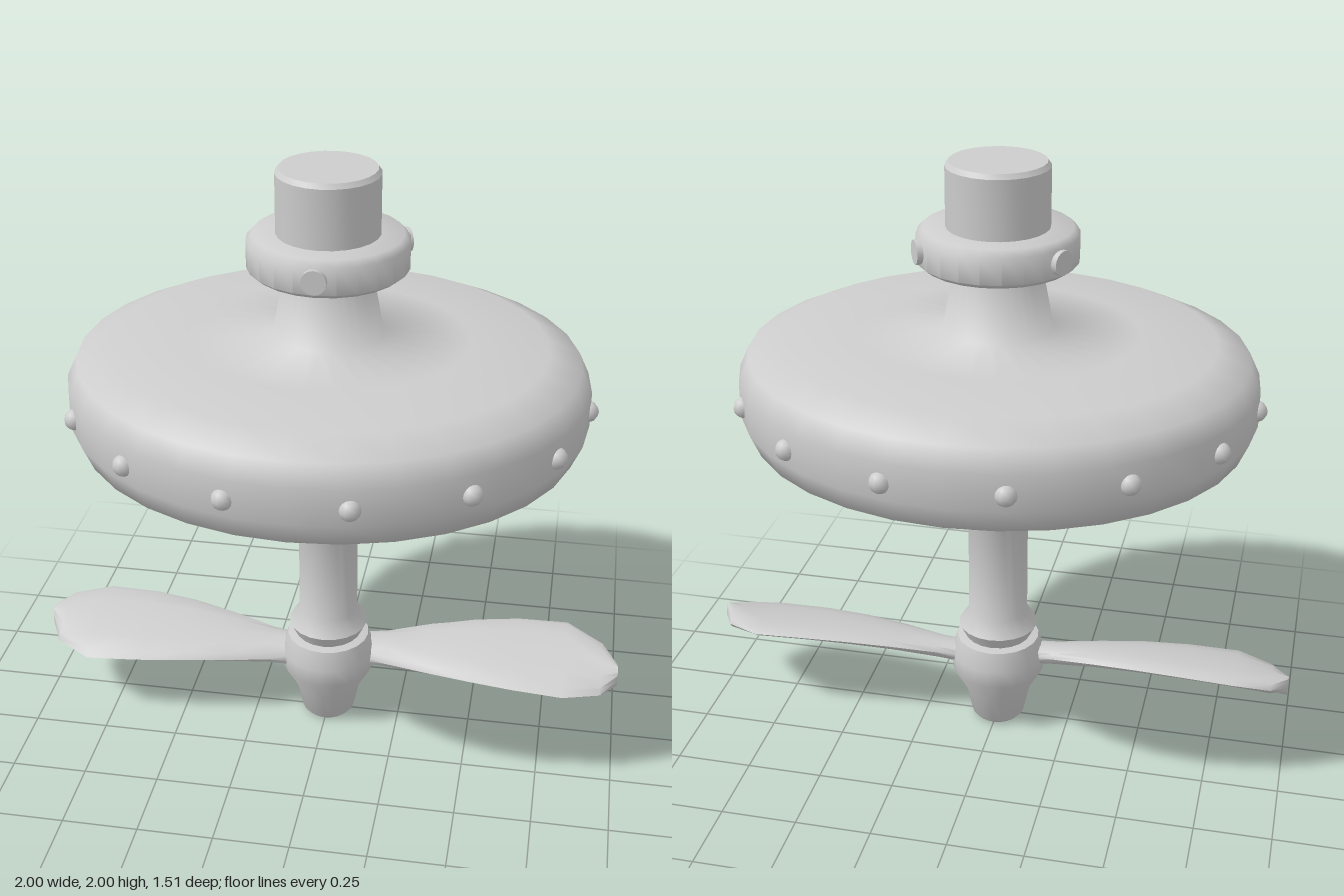
import * as THREE from 'three';
import { toCreasedNormals } from 'three/addons/utils/BufferGeometryUtils.js';

export function createModel() {
  const model = new THREE.Group();
  const metal = new THREE.MeshStandardMaterial({ color: 0xcccccc });
  metal.name = 'pale grey metal';

  function add(name, geometry, parent = model) {
    const mesh = new THREE.Mesh(geometry, metal);
    mesh.name = name;
    parent.add(mesh);
    return mesh;
  }
  // Profiles are [radius, height] pairs running upwards
  const lathe = (profile, sides) =>
    new THREE.LatheGeometry(profile.map(([r, y]) => new THREE.Vector2(r, y)), sides);

  // Slightly oval drum, rising into the tapered neck
  const drum = add('drum', lathe([
    [0, 1.07], [0.58, 1.07], [0.65, 1.08], [0.8, 1.122], [0.833, 1.198],
    [0.833, 1.315], [0.8, 1.385], [0.695, 1.433], [0.45, 1.45], [0.176, 1.465],
    [0.134, 1.69],
  ], 32));
  drum.scale.z = 0.9;

  // Rivets around the rim
  const rivets = new THREE.Group();
  rivets.name = 'rivets';
  model.add(rivets);
  const rivetGeometry = new THREE.SphereGeometry(0.034, 10, 8);
  for (let i = 0; i < 14; i++) {
    const a = (i * Math.PI) / 7;
    add('rivet', rivetGeometry, rivets)
      .position.set(0.825 * Math.cos(a), 1.25, 0.742 * Math.sin(a));
  }

  // Collar with three screws, and the stub above it
  add('collar', toCreasedNormals(lathe([
    [0.1, 1.675], [0.235, 1.675], [0.254, 1.69], [0.254, 1.775], [0.235, 1.795], [0.1, 1.795],
  ], 24), 0.9));
  add('topStub', toCreasedNormals(lathe([
    [0.163, 1.7], [0.163, 1.985], [0.152, 2], [0, 2],
  ], 24), 0.6));
  for (let i = 0; i < 3; i++) {
    const pivot = new THREE.Group();
    pivot.name = 'collarScrew';
    pivot.rotation.y = (i * Math.PI * 2) / 3;
    model.add(pivot);
    const screw = add('screw', new THREE.CylinderGeometry(0.039, 0.039, 0.06, 16), pivot);
    screw.rotation.x = Math.PI / 2;
    screw.position.set(0, 1.735, 0.238);
  }

  // Drive shaft with sleeve and flared lower ring
  add('shaft', toCreasedNormals(lathe([
    [0.107, 0.32], [0.134, 0.374], [0.1, 0.428], [0.1, 0.87], [0.144, 0.936], [0.15, 1.08],
  ], 20), 0.95));

  // Propeller hub
  add('propellerHub', toCreasedNormals(lathe([
    [0, 0], [0.075, 0], [0.09, 0.016], [0.112, 0.118], [0.157, 0.198],
    [0.16, 0.26], [0.14, 0.325], [0.1, 0.333], [0, 0.333],
  ], 20), 0.9));

  // Blade sections: x, half chord, centre height, half thickness
  const sections = [
    [0.08, 0.055, 0.245, 0.042], [0.2, 0.07, 0.255, 0.037], [0.35, 0.11, 0.272, 0.031],
    [0.5, 0.14, 0.282, 0.028], [0.65, 0.16, 0.285, 0.025], [0.82, 0.168, 0.281, 0.025],
    [0.945, 0.113, 0.271, 0.031], [1, 0.022, 0.264, 0.036],
  ];
  const N = 12;
  function blade(side) {
    const pos = [], index = [];
    const tri = (a, b, c) => (side > 0 ? index.push(a, b, c) : index.push(a, c, b));
    for (const [x, chord, y, thick] of sections) {
      // The centre line sweeps gently along z
      const sweep = -0.022 * side * Math.min(1, (1 - x) * 8) + 0.02 * side * Math.max(0, x * 8 - 7);
      for (let j = 0; j < N; j++) {
        const a = (j * 2 * Math.PI) / N;
        const z = chord * Math.cos(a);
        pos.push(side * x, y + thick * Math.sin(a) - 0.235 * z, sweep + z);
      }
    }
    for (let i = 0; i < sections.length - 1; i++) {
      for (let j = 0; j < N; j++) {
        const a = i * N + j, b = i * N + ((j + 1) % N);
        tri(a, a + N, b);
        tri(b, a + N, b + N);
      }
    }
    const tip = (sections.length - 1) * N;
    for (let j = 1; j < N - 1; j++) tri(tip, tip + j + 1, tip + j);
    const geometry = new THREE.BufferGeometry();
    geometry.setAttribute('position', new THREE.Float32BufferAttribute(pos, 3));
    geometry.setIndex(index);
    return toCreasedNormals(geometry, 0.9);
  }
  add('leftBlade', blade(1));
  add('rightBlade', blade(-1));

  return model;
}
